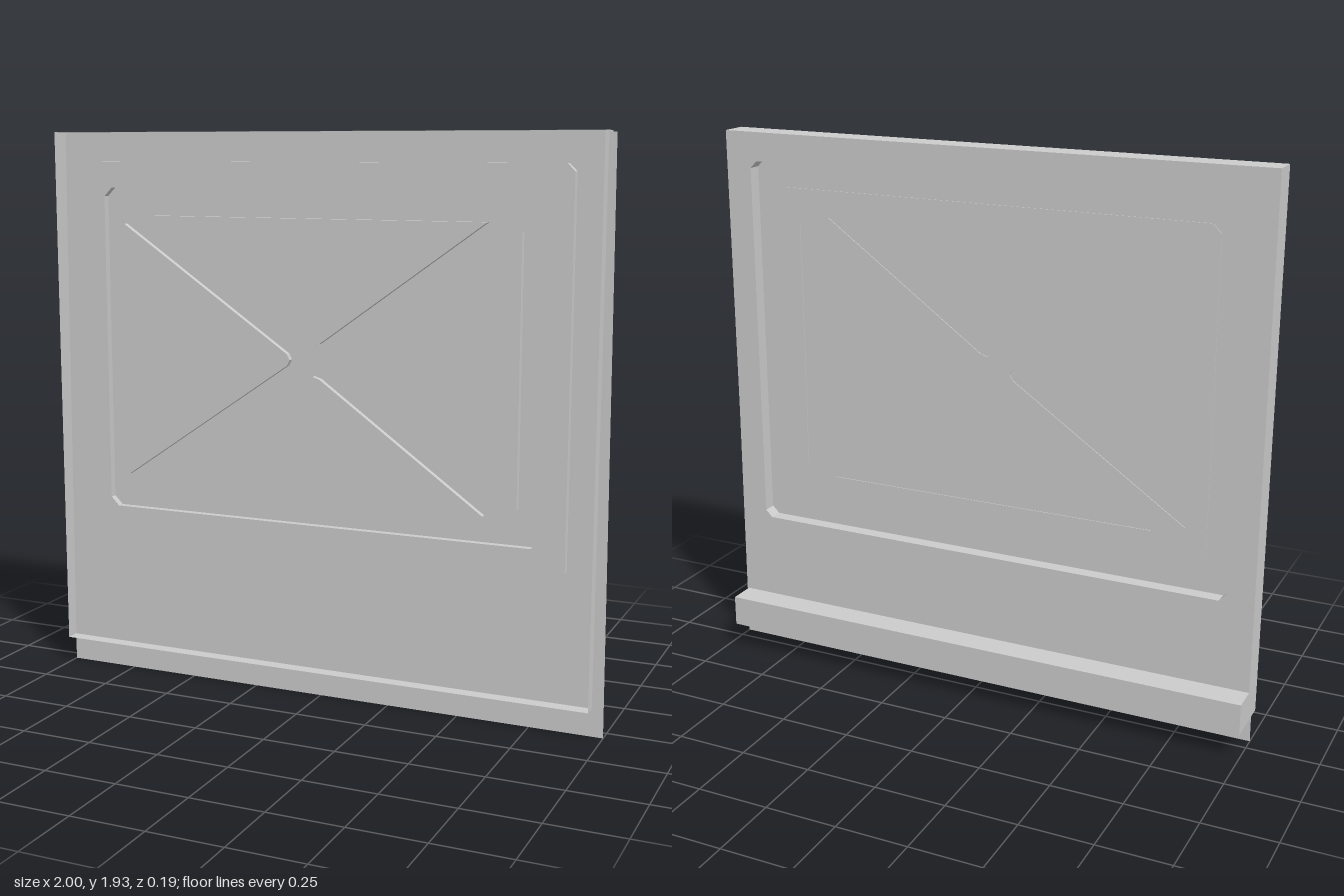
import * as THREE from 'three';

const material = new THREE.MeshStandardMaterial({ color: 0xcccccc, flatShading: true, side: THREE.DoubleSide });

const CX = -0.02, CY = 1.175; // middle of the pressed pattern
const Z_BACK = 0, Z_CHANNEL = 0.073, Z_FIELD = 0.045, Z_POCKET = 0.069, Z_RIM = 0.095;

// Rectangle outline with cut corners
function cutRect(x0, x1, y0, y1, c = 0) {
  if (!c) return [[x0, y0], [x1, y0], [x1, y1], [x0, y1]];
  return [[x0 + c, y0], [x1 - c, y0], [x1, y0 + c], [x1, y1 - c],
    [x1 - c, y1], [x0 + c, y1], [x0, y1 - c], [x0, y0 + c]];
}

const toVectors = (pts) => pts.map(([x, y]) => new THREE.Vector2(x, y));

function add(group, name, geometry) {
  const mesh = new THREE.Mesh(geometry, material);
  mesh.name = name;
  group.add(mesh);
  return mesh;
}

// Flat face at depth z, with optional holes
function face(group, name, outline, z, holes = []) {
  const shape = new THREE.Shape(toVectors(outline));
  holes.forEach((h) => shape.holes.push(new THREE.Path(toVectors(h))));
  const geometry = new THREE.ShapeGeometry(shape);
  geometry.translate(0, 0, z);
  add(group, name, geometry);
}

// Upright band following an outline from z0 to z1
function wall(group, name, outline, z0, z1) {
  const pos = [];
  outline.forEach(([ax, ay], i) => {
    const [bx, by] = outline[(i + 1) % outline.length];
    pos.push(ax, ay, z0, bx, by, z0, bx, by, z1, ax, ay, z0, bx, by, z1, ax, ay, z1);
  });
  const geometry = new THREE.BufferGeometry();
  geometry.setAttribute('position', new THREE.Float32BufferAttribute(pos, 3));
  geometry.computeVertexNormals();
  add(group, name, geometry);
}

export function createModel() {
  const model = new THREE.Group();
  model.name = 'panel';

  const rim = cutRect(-1, 0.96, 0.095, 1.935);
  const recess = cutRect(-0.905, 0.865, 0.515, 1.835, 0.025);
  const field = cutRect(-0.815, 0.78, 0.61, 1.745, 0.03);

  // Four blunt triangles pointing to the centre, in mirrored pairs
  const pockets = [];
  for (const s of [1, -1]) {
    pockets.push([[0.72, -0.445], [0.72, 0.445], [0.095, 0.02], [0.085, 0], [0.095, -0.02]]
      .map(([x, y]) => [CX + s * x, CY + y]));
    pockets.push([[-0.605, 0.475], [0.605, 0.475], [0.025, 0.06], [0, 0.052], [-0.025, 0.06]]
      .map(([x, y]) => [CX + x, CY + s * y]));
  }

  // Pressed shell, open to the front
  wall(model, 'rim', rim, Z_BACK, Z_RIM);
  face(model, 'backFace', rim, Z_BACK, [recess]);
  wall(model, 'recessWall', recess, Z_BACK, Z_CHANNEL);
  face(model, 'recessChannel', recess, Z_CHANNEL, [field]);
  wall(model, 'fieldWall', field, Z_FIELD, Z_CHANNEL);
  face(model, 'raisedField', field, Z_FIELD, pockets);
  pockets.forEach((p) => {
    wall(model, 'pocketWall', p, Z_FIELD, Z_POCKET);
    face(model, 'pocketFloor', p, Z_POCKET);
  });

  // Thin sheet inside the rim, slightly wider at the bottom
  face(model, 'frontSheet', [[-1, 0], [1, 0], [0.985, 1.93], [-0.985, 1.93]], 0.048);

  // Ledge along the bottom of the back
  add(model, 'ledge', new THREE.BoxGeometry(1.96, 0.11, 0.095)).position.set(-0.02, 0.15, -0.0475);

  return model;
}
